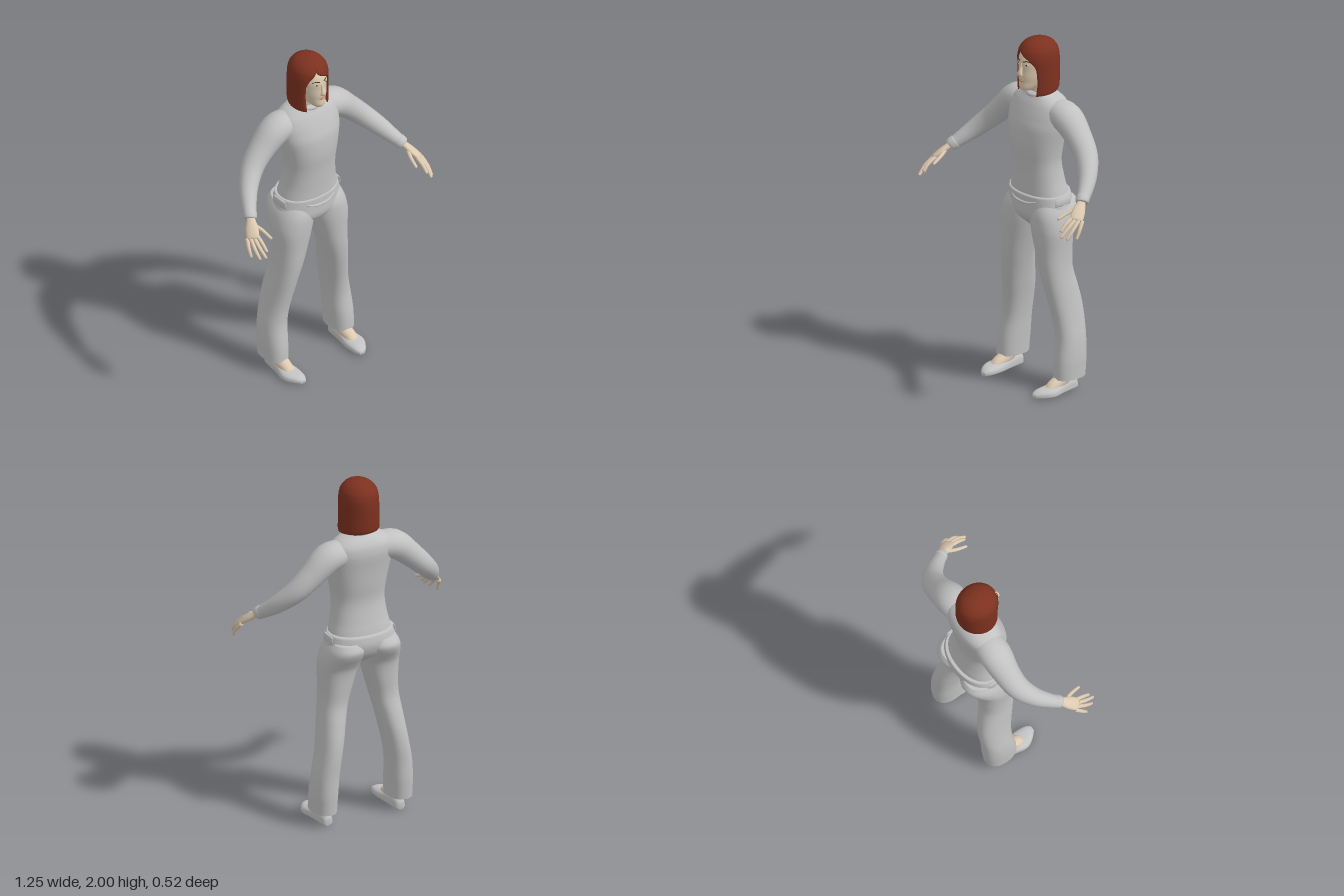
import * as THREE from 'three';

const mat = (name, color, side = THREE.FrontSide) => {
  const m = new THREE.MeshStandardMaterial({ color, side });
  m.name = name;
  return m;
};

// Smoothly resample rows of numbers, k steps between neighbours
function smooth(rows, k) {
  const n = rows[0].length;
  const f = new THREE.CubicInterpolant(rows.map((_, i) => i), new Float32Array(rows.flat()), n);
  const out = [];
  for (let i = 0; i <= (rows.length - 1) * k; i++) out.push(Array.from(f.evaluate(i / k)));
  return out;
}

// Skin a list of closed rings, with optional end caps
function skin(rings, capStart = true, capEnd = true) {
  const n = rings[0].length, pos = rings.flat(2), idx = [];
  const last = (rings.length - 1) * n;
  for (let i = 0; i < rings.length - 1; i++) {
    for (let j = 0; j < n; j++) {
      const a = i * n + j, b = i * n + (j + 1) % n;
      idx.push(a, b, b + n, a, b + n, a + n);
    }
  }
  const cap = (ring, base, flip) => {
    const c = pos.length / 3;
    for (let q = 0; q < 3; q++) pos.push(ring.reduce((s, p) => s + p[q], 0) / n);
    for (let j = 0; j < n; j++) {
      const a = base + j, b = base + (j + 1) % n;
      if (flip) idx.push(b, a, c); else idx.push(a, b, c);
    }
  };
  if (capStart) cap(rings[0], 0, true);
  if (capEnd) cap(rings[rings.length - 1], last, false);
  const g = new THREE.BufferGeometry();
  g.setAttribute('position', new THREE.Float32BufferAttribute(pos, 3));
  g.setIndex(idx);
  g.computeVertexNormals();
  return g;
}

const range = (n, fn) => Array.from({ length: n }, (_, i) => fn(i));
const pow = (v, e) => Math.sign(v) * Math.abs(v) ** e;

// Upright body: rows of [y, x min, x max, z front, z back], bottom to top
function body(rows, e = 0.9, seg = 40, capStart = true) {
  return skin(smooth(rows, 4).map(([y, x0, x1, zf, zb]) => range(seg, (j) => {
    const a = j / seg * Math.PI * 2;
    return [(x0 + x1) / 2 + (x1 - x0) / 2 * pow(Math.sin(a), e), y,
      (zf + zb) / 2 + (zf - zb) / 2 * pow(Math.cos(a), e)];
  })), capStart);
}
const centred = (rows) => rows.map(([y, h, zf, zb]) => [y, -h, h, zf, zb]);

// Limb along rows of [x, y, z, radius along ref, radius across (same if left out)]
function limb(rows, ref = [0, 0, 1], seg = 20) {
  const s = smooth(rows.map(([x, y, z, ru, rv = ru]) => [x, y, z, ru, rv]), 4);
  const P = s.map((r) => new THREE.Vector3(r[0], r[1], r[2]));
  return skin(s.map((r, i) => {
    const t = P[Math.min(i + 1, P.length - 1)].clone().sub(P[Math.max(i - 1, 0)]).normalize();
    const u = new THREE.Vector3(...ref);
    u.addScaledVector(t, -u.dot(t)).normalize();
    const v = t.clone().cross(u);
    return range(seg, (j) => {
      const a = j / seg * Math.PI * 2;
      return P[i].clone().addScaledVector(u, r[3] * Math.cos(a))
        .addScaledVector(v, r[4] * Math.sin(a)).toArray();
    });
  }));
}

function mirrored(g) {
  const m = g.clone().scale(-1, 1, 1), ix = m.index.array;
  for (let i = 0; i < ix.length; i += 3) [ix[i], ix[i + 1]] = [ix[i + 1], ix[i]];
  m.computeVertexNormals();
  return m;
}

export function createModel() {
  const root = new THREE.Group();
  root.name = 'standingWoman';
  const cloth = mat('grey cloth', 0xc2c2c2, THREE.DoubleSide);
  const skinMat = mat('skin', 0xdcc9b0);
  const hairMat = mat('red brown hair', 0x7d311f, THREE.DoubleSide);
  const lipMat = mat('lips', 0xb99580);
  const eyeMat = mat('eye white', 0xcfcac2);
  const darkMat = mat('dark brown', 0x4a3a30);
  const add = (name, g, m) => {
    const mesh = new THREE.Mesh(g, m);
    mesh.name = name;
    root.add(mesh);
  };
  const pair = (name, g, m) => {
    add(name + 'Left', g, m);
    add(name + 'Right', mirrored(g), m);
  };

  // Sweater
  add('sweater', body(centred([
    [1.09, .184, .027, -.226], [1.14, .172, .028, -.218], [1.2, .159, .03, -.205], [1.3, .15, .036, -.19],
    [1.4, .163, .046, -.2], [1.5, .183, .042, -.21], [1.56, .19, .025, -.218], [1.6, .19, .01, -.22],
    [1.64, .175, -.008, -.213], [1.67, .135, -.025, -.193], [1.69, .085, -.033, -.168], [1.695, .07, -.036, -.16],
  ])), cloth);
  pair('sleeve', limb([
    [.1, 1.595, -.115, .08, .072], [.2, 1.58, -.118, .09, .08], [.3, 1.495, -.116, .075, .068],
    [.38, 1.415, -.098, .065, .06], [.45, 1.34, -.045, .052], [.5, 1.28, .02, .041], [.53, 1.245, .068, .033],
  ]), cloth);
  pair('cuff', limb([[.515, 1.263, .045, .034], [.518, 1.259, .05, .038], [.53, 1.245, .068, .036], [.533, 1.241, .072, .03]]), cloth);
  const collar = new THREE.TorusGeometry(.066, .012, 10, 40);
  collar.rotateX(Math.PI / 2 + .2).translate(0, 1.693, -.097);
  add('collar', collar, cloth);

  // Trousers
  add('trouserSeat', body(centred([
    [.92, .05, -.03, -.12], [.96, .16, .01, -.18], [1.0, .21, .03, -.222], [1.06, .2, .032, -.243], [1.12, .183, .031, -.236],
  ])), cloth);
  pair('trouserLeg', body([
    [.08, .16, .297, -.012, -.205], [.14, .158, .298, -.014, -.21], [.2, .155, .298, -.02, -.214], [.3, .15, .29, -.034, -.216],
    [.4, .138, .272, -.03, -.22], [.5, .12, .256, -.014, -.215], [.6, .1, .243, .004, -.196], [.7, .075, .232, .018, -.175],
    [.8, .047, .229, .025, -.18], [.9, .018, .233, .031, -.191], [.95, .004, .231, .032, -.213], [1.0, -.004, .222, .03, -.244],
    [1.04, -.002, .208, .02, -.256], [1.08, .01, .185, 0, -.235],
  ], .88, 36, false), cloth);
  // Curved waistband seam and hip flaps
  add('waistSeam', limb([
    [-.095, 1.086, .014, .006], [-.05, 1.073, .03, .007], [0, 1.07, .034, .007], [.05, 1.073, .03, .007], [.095, 1.086, .014, .006],
  ], [0, 1, 0], 10), cloth);
  pair('hipFlap', limb([[.187, 1.07, -.1, .055, .01], [.19, 1.09, -.1, .055, .008], [.187, 1.11, -.1, .05, .006]]), cloth);

  // Shoes: slices along the foot [z, x inner, x outer, height]
  pair('shoe', skin(smooth([
    [-.164, .208, .235, .04], [-.15, .19, .25, .062], [-.1, .184, .258, .07], [-.04, .177, .266, .062],
    [.02, .168, .28, .052], [.06, .168, .275, .047], [.1, .174, .25, .04], [.128, .19, .222, .025],
  ], 4).map(([z, x0, x1, h]) => range(28, (j) => {
    const a = j / 28 * Math.PI * 2, s = Math.sin(a);
    return [(x0 + x1) / 2 + (x1 - x0) / 2 * pow(Math.cos(a), .85), .015 + (s > 0 ? h - .015 : .015) * pow(s, .7), z];
  }))), cloth);
  pair('ankle', limb([
    [.225, .22, -.11, .045], [.223, .12, -.105, .042], [.222, .07, -.06, .04], [.222, .046, .005, .03, .035], [.222, .03, .04, .018, .03],
  ], [0, .6, .8]), skinMat);

  // Hands
  const across = [.045, -.017, -.035];
  pair('palm', limb([
    [.522, 1.256, .056, .024, .02], [.536, 1.237, .08, .025, .018], [.555, 1.212, .112, .035, .018],
    [.575, 1.184, .145, .036, .015], [.582, 1.175, .156, .028, .009],
  ], across), skinMat);
  const fingers = {
    indexFinger: [[.556, 1.188, .155], [.558, 1.163, .205], [.558, 1.13, .243]],
    middleFinger: [[.573, 1.18, .152], [.58, 1.145, .21], [.576, 1.105, .258]],
    ringFinger: [[.588, 1.174, .143], [.6, 1.135, .195], [.598, 1.093, .234]],
    littleFinger: [[.599, 1.17, .126], [.615, 1.13, .16], [.618, 1.088, .184]],
    thumb: [[.538, 1.222, .1], [.517, 1.202, .155], [.506, 1.178, .215]],
  };
  for (const [name, [a, b, c]] of Object.entries(fingers)) {
    const tip = c.map((v, i) => v + (c[i] - b[i]) * .08);
    pair(name, limb([[...a, .0115], [...b, .0105], [...c, .008], [...tip, .003]], across, 10), skinMat);
  }

  // Head and neck
  add('neck', limb([[0, 1.64, -.105, .06], [0, 1.7, -.098, .054], [0, 1.78, -.085, .054]]), skinMat);
  add('head', body(centred([
    [1.716, .018, .018, -.03], [1.722, .032, .03, -.06], [1.74, .047, .036, -.1], [1.77, .061, .034, -.14], [1.8, .07, .036, -.165],
    [1.84, .076, .034, -.183], [1.88, .079, .033, -.188], [1.92, .076, .018, -.182], [1.95, .06, -.012, -.16], [1.972, .02, -.06, -.12],
  ]), .95), skinMat);
  add('nose', limb([
    [0, 1.878, .028, .007], [0, 1.85, .036, .009], [0, 1.822, .044, .016, .012], [0, 1.81, .04, .016, .01], [0, 1.804, .034, .008, .006],
  ], [1, 0, 0], 14), skinMat);
  const blob = (x, y, z, rx, ry, rz, turn = 0) =>
    new THREE.SphereGeometry(1, 16, 10).scale(rx, ry, rz).rotateY(turn).translate(x, y, z);
  pair('eye', blob(.032, 1.874, .023, .013, .006, .004, .3), eyeMat);
  pair('iris', blob(.032, 1.874, .0265, .005, .005, .002, .3), darkMat);
  pair('eyebrow', limb([[.014, 1.889, .031, .002, .003], [.032, 1.896, .024, .002, .003], [.052, 1.889, .01, .0015, .002]], [0, 0, 1], 8), darkMat);
  add('upperLip', blob(0, 1.788, .034, .021, .005, .007), lipMat);
  add('lowerLip', blob(0, 1.778, .034, .018, .006, .007), lipMat);

  // Bobbed hair: C-shaped slices [y, rx, rz, centre z, left edge angle, right edge angle, inner scale]
  const hair = smooth([
    [1.69, .11, .108, -.09, .72, -.72, .97], [1.71, .113, .113, -.091, .74, -.74, .86], [1.76, .112, .116, -.092, .8, -.8, .85],
    [1.81, .11, .118, -.092, .8, -.82, .86], [1.86, .109, .12, -.091, .74, -.8, .88], [1.9, .107, .12, -.09, .42, -.66, .9],
    [1.93, .102, .114, -.09, -.1, -.4, .9], [1.95, .094, .105, -.09, -.27, -.27, .9], [1.975, .073, .083, -.09, -.27, -.27, .9],
    [1.993, .04, .046, -.09, -.27, -.27, .9], [2, .004, .004, -.09, -.27, -.27, .9],
  ], 4).map(([y, rx, rz, cz, a0, a1, inner]) => {
    const arc = (s) => range(41, (j) => {
      const a = a0 + (Math.PI * 2 + Math.min(a1, a0) - a0) * j / 40;
      // The hem rises slightly towards the nape
      const lift = Math.max(0, 1.76 - y) / .07 * .025 * (1 - Math.cos(a)) / 2;
      return [rx * s * Math.sin(a), Math.min(y + lift, 2), cz + rz * s * Math.cos(a)];
    });
    return [...arc(1), ...arc(inner).reverse()];
  });
  add('hair', skin(hair, false), hairMat);

  return root;
}
